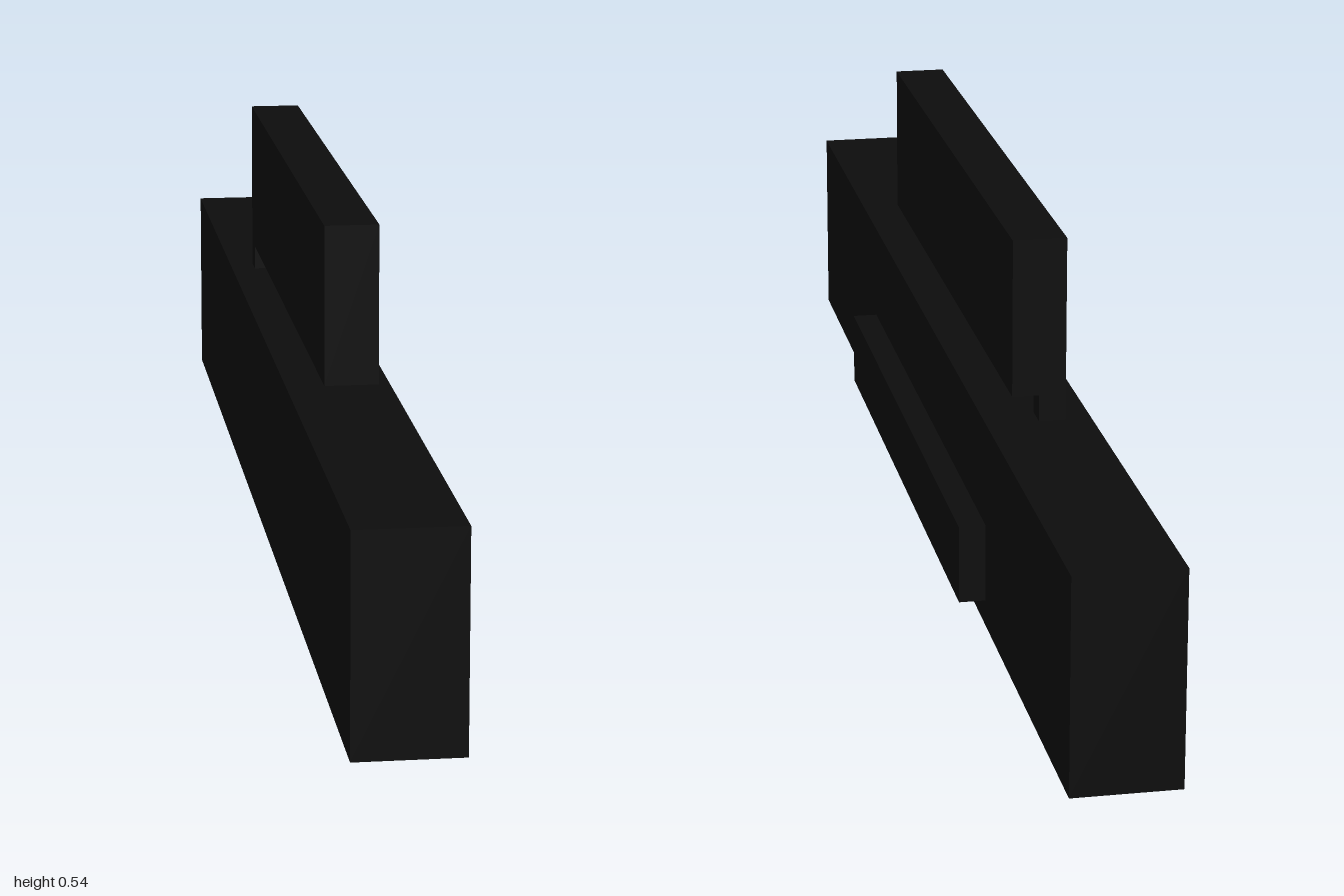
import * as THREE from 'three';

export function createModel() {
  const group = new THREE.Group();
  const black = new THREE.MeshStandardMaterial({ color: 0x0d0d0d });
  black.name = 'black';

  // Box given by its [min, max] range on each axis
  const addBox = (name, [x0, x1], [y0, y1], [z0, z1]) => {
    const mesh = new THREE.Mesh(new THREE.BoxGeometry(x1 - x0, y1 - y0, z1 - z0), black);
    mesh.position.set((x0 + x1) / 2, (y0 + y1) / 2, (z0 + z1) / 2);
    mesh.name = name;
    group.add(mesh);
  };

  // Long main beam
  addBox('beam', [-0.089, 0.053], [0, 0.286], [-1, 1]);
  // Raised strip on the right-hand side of the beam
  addBox('sideStrip', [0.053, 0.089], [0.036, 0.143], [-0.464, 0.464]);
  // Upper bar, floating above the beam
  addBox('upperBar', [-0.054, 0.018], [0.322, 0.536], [-0.464, 0.464]);
  // Small post at the back that carries the upper bar
  addBox('post', [-0.054, -0.018], [0.286, 0.322], [-0.464, -0.428]);

  return group;
}
